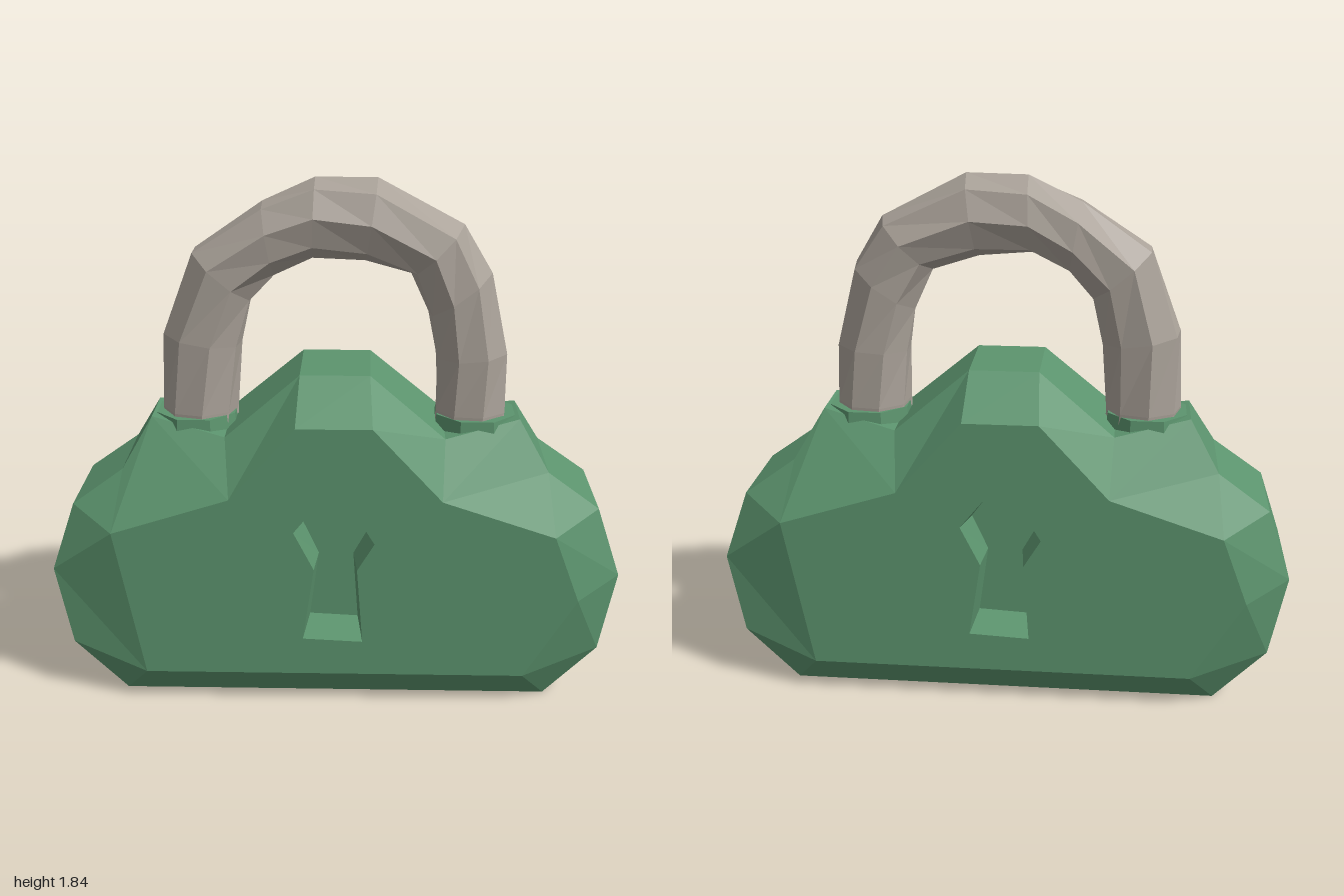
import * as THREE from 'three';

const green = new THREE.MeshStandardMaterial({ color: 0x5c946e });
green.name = 'green body';
const metal = new THREE.MeshStandardMaterial({ color: 0xaaa299 });
metal.name = 'warm grey metal';

// Flat-shaded skin through a list of closed rings with equal point counts
function loft(rings, material, name) {
  const pos = [];
  const tri = (a, b, c) => {
    if (a.distanceTo(b) < 1e-4 || b.distanceTo(c) < 1e-4 || c.distanceTo(a) < 1e-4) return;
    for (const p of [a, b, c]) pos.push(p.x, p.y, p.z);
  };
  for (let r = 0; r < rings.length - 1; r++) {
    const a = rings[r], b = rings[r + 1], n = a.length;
    for (let i = 0; i < n; i++) {
      const j = (i + 1) % n;
      tri(a[i], a[j], b[j]);
      tri(a[i], b[j], b[i]);
    }
  }
  const g = new THREE.BufferGeometry();
  g.setAttribute('position', new THREE.Float32BufferAttribute(pos, 3));
  g.computeVertexNormals();
  const mesh = new THREE.Mesh(g, material);
  mesh.name = name;
  return mesh;
}

const ring = (pts, z) => pts.map(p => new THREE.Vector3(p[0], p[1], z ?? p[2]));
const flat = (pts) => pts.map(p => new THREE.Vector2(p[0], p[1]));

function panel(pts, z, name, hole) {
  const shape = new THREE.Shape(flat(pts));
  if (hole) shape.holes.push(new THREE.Path(flat(hole)));
  const mesh = new THREE.Mesh(new THREE.ShapeGeometry(shape), green);
  mesh.position.z = z;
  mesh.name = name;
  return mesh;
}

// Right half of the outline, bottom to top: x, y, half depth
const side = [
  [0.76, 0.005, 0.2], [0.94, 0.21, 0.23], [1, 0.49, 0.21], [0.92, 0.73, 0.18],
  [0.74, 0.86, 0.17], [0.64, 1.03, 0.1], [0.38, 0.98, 0.17], [0.12, 1.2, 0.15],
];
const outline = [...side, ...side.map(([x, y, z]) => [-x, y, z]).reverse()];

// Front face corner that each outline point bevels to
const R = { foot: [0.67, 0.13], hip: [0.85, 0.43], arm: [0.76, 0.67], neck: [0.37, 0.8], top: [0.13, 1.06] };
const L = { foot: [-0.67, 0.13], arm: [-0.77, 0.67], neck: [-0.36, 0.8], top: [-0.13, 1.06] };
const bevel = [
  R.foot, R.foot, R.hip, R.arm, R.arm, R.neck, R.neck, R.top,
  L.top, L.neck, L.neck, L.arm, L.arm, L.arm, L.foot, L.foot,
];
const faceOutline = bevel.filter((p, i) => p !== bevel[(i + 1) % bevel.length]);

const keyhole = [
  [-0.11, 0.27], [0.1, 0.26], [0.08, 0.54], [0.14, 0.64],
  [0.055, 0.78], [-0.06, 0.78], [-0.14, 0.68], [-0.07, 0.54],
];
const keyFloor = keyhole.map(([x, y]) => [x * 0.82, 0.5 + (y - 0.5) * 0.9]);

function bodyHalf(name) {
  const half = new THREE.Group();
  half.name = name;
  half.add(loft([ring(outline, 0), ring(outline), ring(bevel, 0.3)], green, 'bodyShell'));
  half.add(panel(faceOutline, 0.3, 'bodyFace', keyhole));
  half.add(loft([ring(keyhole, 0.3), ring(keyFloor, 0.15)], green, 'keyholeWall'));
  half.add(panel(keyFloor, 0.15, 'keyholeFloor'));
  return half;
}

// Shackle sections: outer x, y, inner x, y
const stations = [
  [-0.6, 0.92, -0.35, 0.92],
  [-0.605, 1.04, -0.35, 1.04],
  [-0.595, 1.31, -0.33, 1.27],
  [-0.49, 1.6, -0.29, 1.43],
  [-0.25, 1.76, -0.21, 1.52],
  [-0.07, 1.84, -0.08, 1.58],
  [0.14, 1.84, 0.1, 1.57],
  [0.43, 1.69, 0.26, 1.52],
  [0.53, 1.53, 0.32, 1.38],
  [0.595, 1.25, 0.345, 1.23],
  [0.6, 1.04, 0.35, 1.04],
  [0.6, 0.92, 0.35, 0.92],
];

function shackle() {
  const sides = 8;
  const rings = stations.map(([ox, oy, ix, iy], s) => {
    const cx = (ox + ix) / 2, cy = (oy + iy) / 2;
    const hx = (ox - ix) / 2, hy = (oy - iy) / 2;
    // A slow twist gives the hand-cut facets
    const twist = 0.13 * s;
    return Array.from({ length: sides }, (_, i) => {
      const a = (i / sides) * Math.PI * 2 + twist;
      const c = Math.cos(a) * 1.04;
      return new THREE.Vector3(cx + hx * c, cy + hy * c, Math.sin(a) * 0.13);
    });
  });
  return loft(rings, metal, 'shackle');
}

export function createModel() {
  const model = new THREE.Group();
  model.name = 'padlock';

  // Both halves of the body are the same, turned about the upright axis
  const front = bodyHalf('frontBody');
  const back = bodyHalf('backBody');
  back.rotation.y = Math.PI;
  model.add(front, back);

  // Collars around the feet of the shackle
  for (const s of [-1, 1]) {
    const g = new THREE.CylinderGeometry(0.148, 0.165, 0.17, 8).toNonIndexed();
    g.rotateY(Math.PI / 8);
    g.computeVertexNormals();
    const collar = new THREE.Mesh(g, green);
    collar.position.set(s * 0.49, 0.945, 0);
    collar.name = s > 0 ? 'leftCollar' : 'rightCollar';
    model.add(collar);
  }

  model.add(shackle());
  return model;
}
